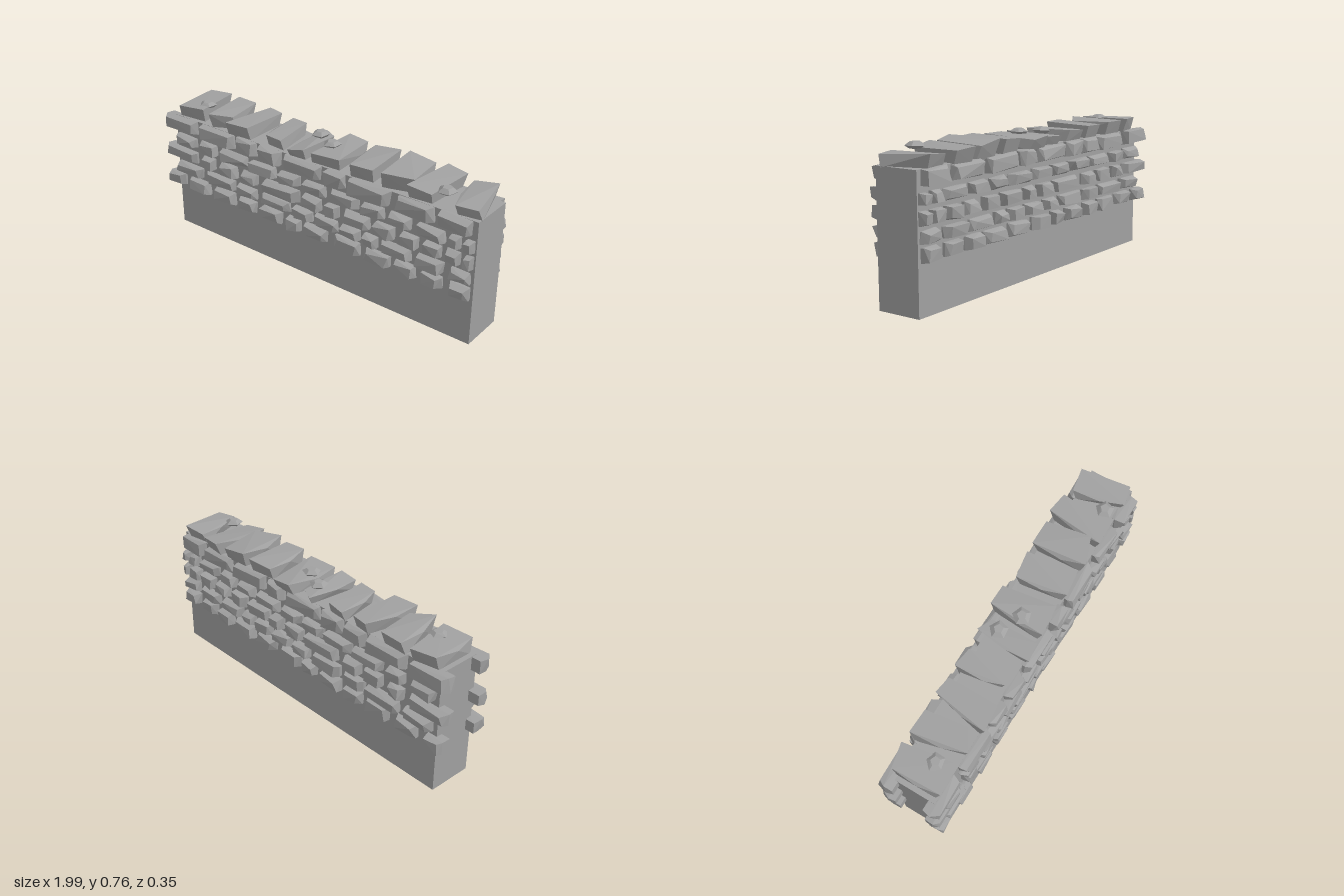
import * as THREE from 'three';
import { ConvexGeometry } from 'three/addons/geometries/ConvexGeometry.js';

// Small seeded generator: jitter(a) gives a value in -a..a
let seed = 7;
const jitter = (a) => {
  seed = (seed * 16807) % 2147483647;
  return (seed / 2147483647 * 2 - 1) * a;
};
const P = (x, y, z) => new THREE.Vector3(x, y, z);

// Courses of facing stones: bottom, top, then left and right ends of each stone
const courses = [
  { y0: 0.25, y1: 0.325, ends: [[-.98, -.86], [-.82, -.67], [-.63, -.48], [-.45, -.33], [-.30, -.15], [-.11, -.02],
    [0, .155], [.20, .36], [.385, .55], [.57, .69], [.72, .84], [.88, .99]] },
  { y0: 0.335, y1: 0.402, ends: [[-.91, -.72], [-.695, -.475], [-.465, -.32], [-.295, -.09], [-.065, .055], [.075, .22],
    [.24, .36], [.38, .465], [.485, .665], [.685, .845], [.875, .99]] },
  { y0: 0.418, y1: 0.49, ends: [[-.995, -.755], [-.715, -.625], [-.58, -.46], [-.43, -.315], [-.27, -.03], [-.015, .11],
    [.145, .225], [.25, .42], [.44, .56], [.595, .70], [.725, .83], [.85, .93], [.95, .995]] },
  { y0: 0.508, y1: 0.573, ends: [[-.91, -.75], [-.725, -.605], [-.58, -.38], [-.365, -.185], [-.17, -.02], [-.005, .145],
    [.165, .355], [.37, .50], [.525, .655], [.685, .845], [.865, .925], [.95, .995]] },
  { y0: 0.59, y1: 0.675, ends: [[-.985, -.75], [-.725, -.47], [-.46, -.315], [-.305, -.15], [-.135, .11], [.13, .26],
    [.28, .53], [.56, .78], [.80, .985]] },
];

// Cap stones: top height, then x, z of the four top corners (back left, back right, front right, front left)
const caps = [
  [.735, -.89, -.13, -.76, -.16, -.72, .11, -.88, .13],
  [.74, -.70, -.155, -.57, -.15, -.54, .07, -.65, .14],
  [.74, -.47, -.155, -.375, -.14, -.38, .135, -.52, .15],
  [.73, -.305, -.15, -.20, -.135, -.165, .12, -.27, .11],
  [.72, -.085, -.16, -.005, -.12, -.005, .135, -.10, .145],
  [.725, .06, -.17, .175, -.17, .21, .12, .045, .135],
  [.74, .245, -.135, .39, -.155, .41, .12, .285, .135],
  [.745, .44, -.155, .59, -.16, .625, .08, .47, .135],
  [.735, .65, -.175, .77, -.16, .745, .12, .615, .135],
  [.73, .82, -.135, .945, -.155, .99, .11, .88, .135],
];

// Rough block: widest in the middle, with a smaller uneven outer face
function facingStone(x0, x1, y0, y1, side) {
  const inset = Math.min(0.022, (x1 - x0) * 0.14);
  const points = [];
  for (const sx of [0, 1]) {
    for (const sy of [0, 1]) {
      const dx = sx ? -1 : 1, dy = sy ? -1 : 1;
      const x = sx ? x1 : x0, y = sy ? y1 : y0;
      points.push(
        P(x + dx * inset * 0.6, y + dy * 0.008, side * 0.085),
        P(x + dx * Math.abs(jitter(inset * 0.7)), y + dy * Math.abs(jitter(0.008)), side * (0.13 + jitter(0.01))),
        P(x + dx * (inset + jitter(inset * 0.6)), y + dy * (0.012 + jitter(0.008)), side * (0.166 + jitter(0.008))),
      );
    }
  }
  return new ConvexGeometry(points);
}

// Slab that widens from the wall top up to a tilted upper face
function capStone([top, ...c]) {
  const points = [];
  for (let i = 0; i < 8; i += 2) {
    points.push(P(c[i], top + jitter(0.012), c[i + 1]));
    points.push(P(c[i] + jitter(0.012), 0.663, c[i + 1] * 0.82));
  }
  // Bulge on the left edge
  points.push(P((c[0] + c[6]) / 2 - 0.015, top - 0.012, 0.01));
  return new ConvexGeometry(points);
}

// Flat pebble with a five-sided rim
function pebble(x, y, z) {
  const points = [];
  for (let i = 0; i < 5; i++) {
    const a = i / 5 * Math.PI * 2 + x * 9;
    const c = Math.cos(a), s = Math.sin(a);
    points.push(P(x + c * 0.05, y + jitter(0.004), z + s * 0.05));
    points.push(P(x + c * 0.025, y + 0.016, z + s * 0.025), P(x + c * 0.03, y - 0.016, z + s * 0.03));
  }
  return new ConvexGeometry(points);
}

export function createModel() {
  seed = 7;
  const model = new THREE.Group();
  model.name = 'stoneWall';
  const stone = new THREE.MeshStandardMaterial({ color: 0xa0a0a0, flatShading: true });
  stone.name = 'greyStone';
  const add = (parent, name, geometry) => {
    const mesh = new THREE.Mesh(geometry, stone);
    mesh.name = name;
    parent.add(mesh);
    return mesh;
  };
  const group = (name) => {
    const g = new THREE.Group();
    g.name = name;
    model.add(g);
    return g;
  };

  // Plain solid core
  add(model, 'wallCore', new THREE.BoxGeometry(1.92, 0.67, 0.24)).position.set(0.04, 0.335, 0);

  // Facing stones on both faces
  for (const [side, name] of [[1, 'frontStones'], [-1, 'backStones']]) {
    const g = group(name);
    for (const { y0, y1, ends } of courses)
      for (const [x0, x1] of ends) add(g, 'facingStone', facingStone(x0, x1, y0, y1, side));
  }

  // Cap stones and loose pebbles along the top
  const top = group('capStones');
  for (const c of caps) add(top, 'capStone', capStone(c));
  for (const [x, y, z] of [[-.76, .742, .03], [-.045, .742, -.06], [.075, .742, 0], [.795, .745, .065]])
    add(top, 'pebble', pebble(x, y, z));

  return model;
}
